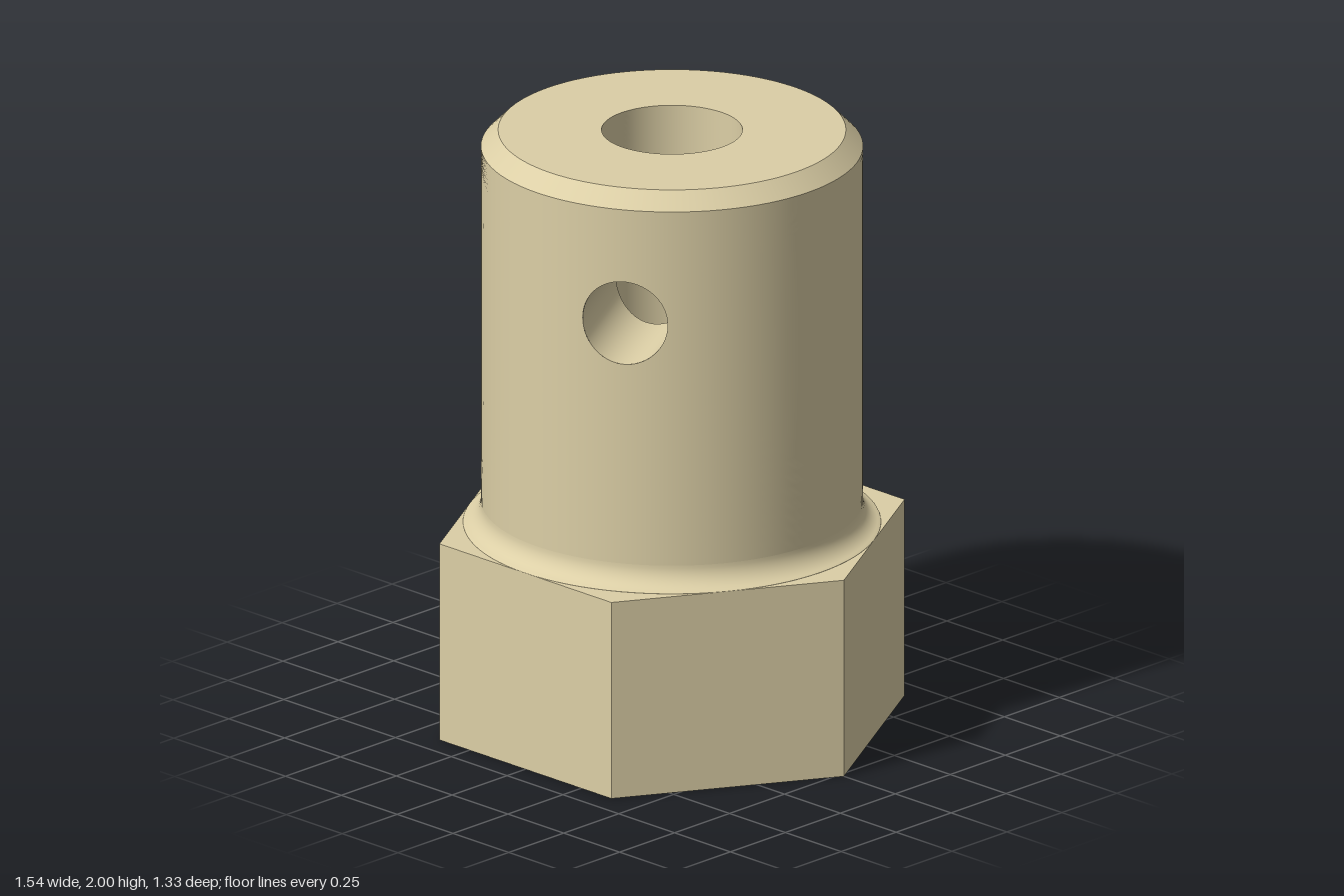
import * as THREE from 'three';
import { ParametricGeometry } from 'three/addons/geometries/ParametricGeometry.js';

const BODY_R = 0.61, BORE_R = 0.225, HEX_R = 0.77, HEX_FLAT = 0.667;
const HEX_H = 0.667, FILLET = 0.075, CHAMFER = 0.055, TOP = 2;
const PIN_R = 0.14, PIN_Y = 1.56, PIN_ANGLE = Math.PI / 6;
const SIDE = 48; // samples per side of a half wall, matching the lathe segments

// Half of a cylinder wall, pierced by the cross hole: lofted from the hole's rim
// out to the rectangle (angle -90..90 degrees, y0..y1).
function piercedHalf(radius, y0, y1, inward) {
  return new ParametricGeometry((u, v, target) => {
    const s = (inward ? u : 1 - u) * 4;
    const side = Math.min(3, Math.floor(s)), t = (s - side) * 2 - 1;
    const [ex, ey] = [[1, t], [-t, 1], [-1, -t], [t, -1]][side];
    const phi = (s - 0.5) * Math.PI / 2;
    const rimAngle = Math.asin(PIN_R * Math.cos(phi) / radius);
    const rimY = PIN_Y + PIN_R * Math.sin(phi);
    const angle = THREE.MathUtils.lerp(rimAngle, ex * Math.PI / 2, v);
    const y = THREE.MathUtils.lerp(rimY, ey > 0 ? y0 + (y1 - y0) * (ey + 1) / 2 : y0 + (y1 - y0) * (ey + 1) / 2, v);
    target.set(radius * Math.sin(angle), y, radius * Math.cos(angle));
  }, SIDE * 4, 16);
}

// Inside of the cross hole, from the bore out to the body surface
function pinTunnel() {
  return new ParametricGeometry((u, v, target) => {
    const phi = -u * Math.PI * 2, p = PIN_R * Math.cos(phi);
    const z0 = Math.sqrt(BORE_R ** 2 - p * p), z1 = Math.sqrt(BODY_R ** 2 - p * p);
    target.set(p, PIN_Y + PIN_R * Math.sin(phi), z0 + (z1 - z0) * v);
  }, 64, 4);
}

// Flat hexagon with a round hole
function hexFace(holeRadius) {
  const shape = new THREE.Shape();
  for (let i = 0; i < 6; i++) {
    const a = i * Math.PI / 3;
    shape[i ? 'lineTo' : 'moveTo'](HEX_R * Math.cos(a), HEX_R * Math.sin(a));
  }
  shape.closePath();
  shape.holes.push(new THREE.Path().absarc(0, 0, holeRadius, 0, Math.PI * 2, true));
  return new THREE.ShapeGeometry(shape, 48);
}

export function createModel() {
  const model = new THREE.Group();
  const color = 0xdccfa6;
  const smooth = new THREE.MeshStandardMaterial({ color });
  const flat = new THREE.MeshStandardMaterial({ color, flatShading: true });
  const add = (name, geometry, material = smooth) => {
    const mesh = new THREE.Mesh(geometry, material);
    mesh.name = name;
    model.add(mesh);
    return mesh;
  };
  const lathe = (name, points) =>
    add(name, new THREE.LatheGeometry(points.map(([x, y]) => new THREE.Vector2(x, y)), SIDE * 2));

  // Hexagonal base
  const sides = new THREE.CylinderGeometry(HEX_R, HEX_R, HEX_H, 6, 1, true, Math.PI / 2);
  add('hexSides', sides.translate(0, HEX_H / 2, 0), flat);
  add('hexTop', hexFace(BODY_R).rotateX(-Math.PI / 2).translate(0, HEX_H, 0));
  add('hexBottom', hexFace(BORE_R).rotateX(Math.PI / 2));

  // Fillet between base and body, trimmed at the flats
  const arc = [];
  for (let i = 0; i <= 12; i++) {
    const a = i / 12 * Math.PI / 2;
    const r = BODY_R + FILLET * (1 - Math.sin(a));
    arc.push([Math.min(r, HEX_FLAT), HEX_H + FILLET * (1 - Math.cos(a))]);
  }
  lathe('fillet', arc);

  // Chamfered top
  lathe('chamfer', [[BODY_R, TOP - CHAMFER], [BODY_R - CHAMFER, TOP]]);
  lathe('topFace', [[BODY_R - CHAMFER, TOP], [BORE_R, TOP]]);

  // Body wall, bore and cross hole, one half turn each
  for (const turn of [PIN_ANGLE, PIN_ANGLE + Math.PI]) {
    add('bodyWall', piercedHalf(BODY_R, HEX_H + FILLET, TOP - CHAMFER, false)).rotation.y = turn;
    add('boreWall', piercedHalf(BORE_R, 0, TOP, true)).rotation.y = turn;
    add('crossHole', pinTunnel()).rotation.y = turn;
  }
  return model;
}
